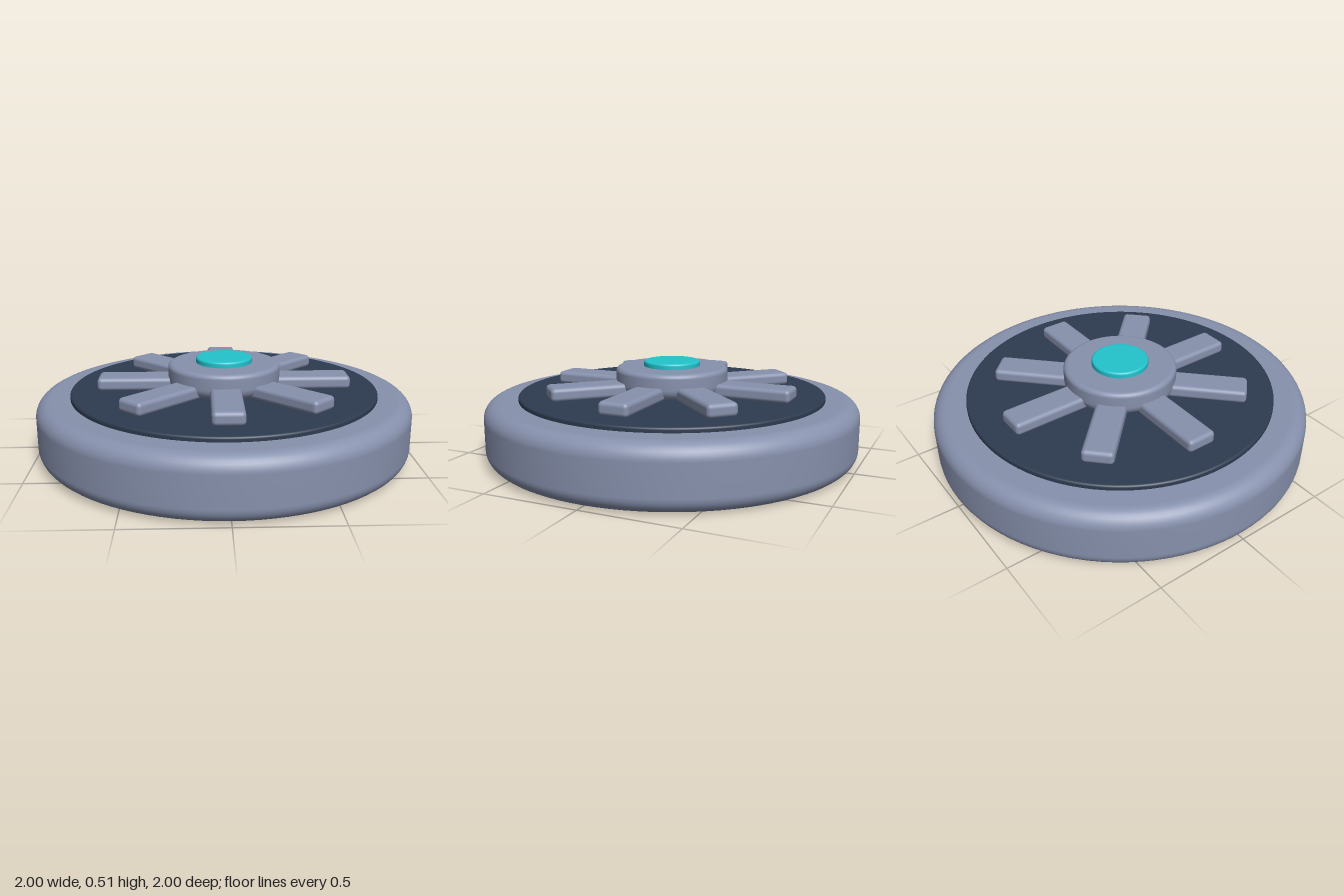
import * as THREE from 'three';
import { RoundedBoxGeometry } from 'three/addons/geometries/RoundedBoxGeometry.js';

// Solid disc with rounded lower and upper rims
function roundedDisc(radius, y0, y1, lowBevel, topBevel) {
  const steps = 8;
  const pts = [new THREE.Vector2(0, y0), new THREE.Vector2(radius - lowBevel - 0.004, y0)];
  const arc = (bevel, cy, start) => {
    for (let i = 0; i <= steps; i++) {
      const a = start + (i / steps) * Math.PI / 2;
      pts.push(new THREE.Vector2(radius - bevel + Math.cos(a) * bevel, cy + Math.sin(a) * bevel));
    }
  };
  arc(lowBevel, y0 + lowBevel, -Math.PI / 2);
  arc(topBevel, y1 - topBevel, 0);
  pts.push(new THREE.Vector2(radius - topBevel - 0.004, y1), new THREE.Vector2(0, y1));
  return new THREE.LatheGeometry(pts, 96);
}

export function createModel() {
  const group = new THREE.Group();
  const material = (name, color) => {
    const m = new THREE.MeshStandardMaterial({ color });
    m.name = name;
    return m;
  };
  const steel = material('blue grey', 0x8791ad);
  const navy = material('dark navy', 0x2d3b4f);
  const teal = material('teal', 0x23c3cd);

  const add = (name, geometry, mat) => {
    const mesh = new THREE.Mesh(geometry, mat);
    mesh.name = name;
    group.add(mesh);
    return mesh;
  };

  // Stacked discs
  add('base', roundedDisc(1, 0, 0.32, 0.08, 0.08), steel);
  add('facePlate', roundedDisc(0.82, 0.3, 0.345, 0.01, 0.012), navy);
  add('hub', roundedDisc(0.3, 0.34, 0.48, 0.06, 0.025), steel);
  add('hubCap', roundedDisc(0.15, 0.46, 0.51, 0.01, 0.012), teal);

  // Eight radial spokes running out from under the hub
  const inner = 0.15, outer = 0.675;
  const spokeGeometry = new RoundedBoxGeometry(outer - inner, 0.07, 0.16, 3, 0.022);
  spokeGeometry.translate((inner + outer) / 2, 0.375, 0);
  for (let i = 0; i < 8; i++) {
    add('spoke' + (i + 1), spokeGeometry, steel).rotation.y = i * Math.PI / 4;
  }
  return group;
}
